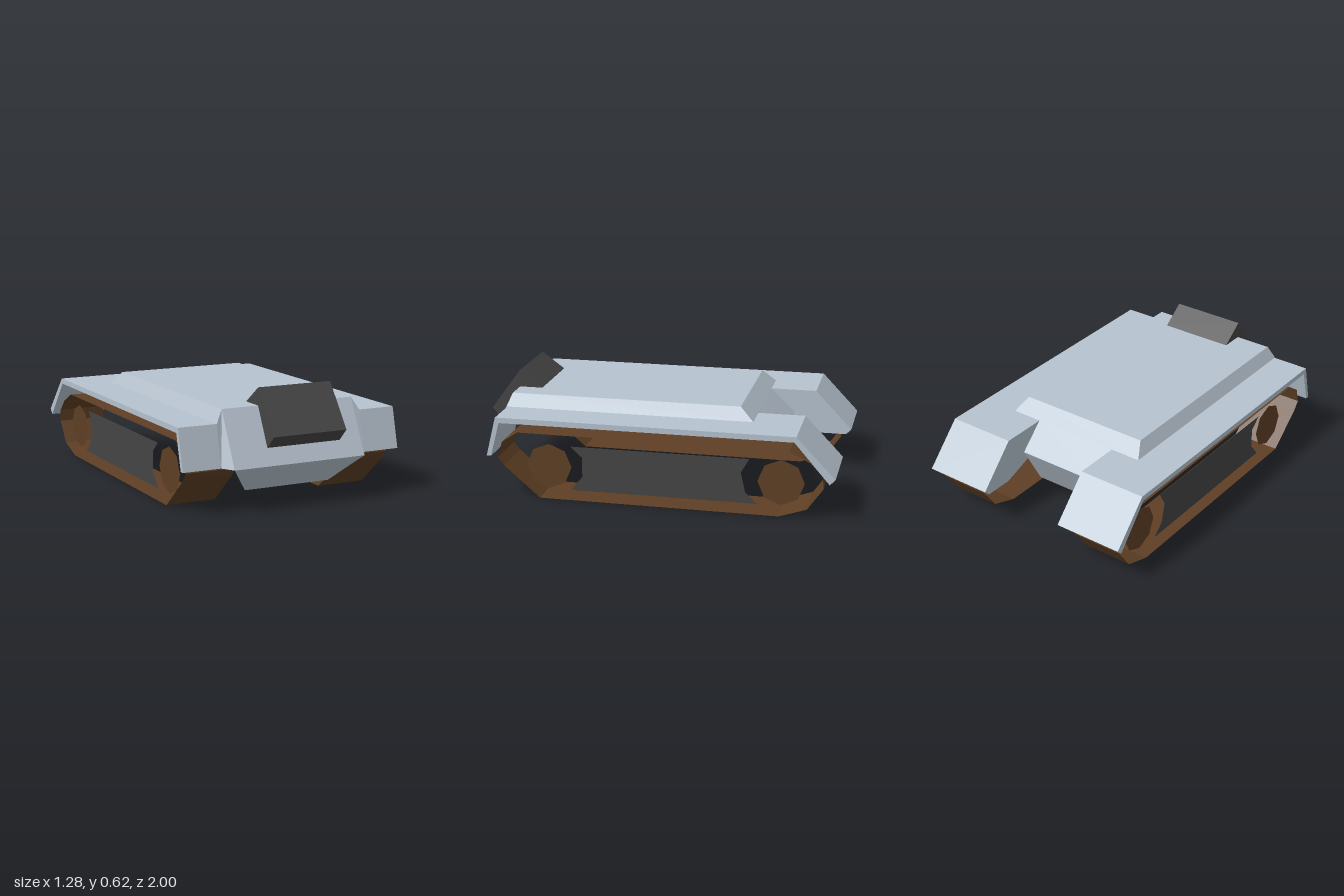
import * as THREE from 'three';

const paint = (color, side = THREE.FrontSide) =>
  new THREE.MeshStandardMaterial({ color, side, flatShading: true });

const armour = paint(0xb6c2ce);
const brown = paint(0x5e3f24, THREE.DoubleSide);
const dark = paint(0x444444, THREE.DoubleSide);
const darkSolid = paint(0x444444);

function named(name, geometry, material) {
  const mesh = new THREE.Mesh(geometry, material);
  mesh.name = name;
  return mesh;
}

// Quads given as four corners, anticlockwise from outside
function quads(list) {
  const pos = [];
  for (const [a, b, c, d] of list) pos.push(...a, ...b, ...c, ...a, ...c, ...d);
  const g = new THREE.BufferGeometry();
  g.setAttribute('position', new THREE.Float32BufferAttribute(pos, 3));
  g.computeVertexNormals();
  return g;
}

const outline = (pts) => new THREE.Shape(pts.map(([z, y]) => new THREE.Vector2(z, y)));

// Side profile (z, y) extruded between two x positions
function slab(pts, x0, x1) {
  const g = new THREE.ExtrudeGeometry(outline(pts), { depth: x1 - x0, bevelEnabled: false });
  return g.rotateY(-Math.PI / 2).translate(x1, 0, 0);
}

// Flat side profile (z, y) at one x, facing +x or -x
function sheet(pts, x, facing) {
  const g = new THREE.ShapeGeometry(outline(pts.map(([z, y]) => [-facing * z, y])));
  return g.rotateY(facing * Math.PI / 2).translate(x, 0, 0);
}

// Hull sections as half width, y, z, running from rear deck over the nose to the back
const HULL = [
  [0.385, 0.53, -0.455], [0.385, 0.53, 0.83], [0.385, 0.24, 0.975], [0.25, 0.09, 0.83],
  [0.25, 0.09, -0.54], [0.25, 0.325, -0.67], [0.25, 0.46, -0.53], [0.425, 0.46, -0.53],
];

function hullGeometry() {
  const list = HULL.map(([w, y, z], i) => {
    const [w2, y2, z2] = HULL[(i + 1) % HULL.length];
    return [[-w, y, z], [-w2, y2, z2], [w2, y2, z2], [w, y, z]];
  });
  // Chamfers beside the deck and the nose
  const sides = [
    [[0.385, 0.53, 0.83], [0.425, 0.46, 0.855], [0.425, 0.46, -0.53], [0.385, 0.53, -0.455]],
    [[0.425, 0.46, 0.855], [0.385, 0.53, 0.83], [0.385, 0.24, 0.975], [0.425, 0.24, 0.905]],
  ];
  for (const q of sides) {
    list.push(q, q.map(([x, y, z]) => [-x, y, z]).reverse());
  }
  return quads(list);
}

const FENDER = [
  [0.905, 0.24], [0.85, 0.46], [-0.79, 0.46], [-1, 0.24],
  [-0.97, 0.21], [-0.78, 0.43], [0.83, 0.43], [0.88, 0.24],
];
const FENDER_WALL = [
  [-0.54, 0.45], [-0.665, 0.325], [-0.64, 0.27], [-0.81, 0.21], [-0.97, 0.21], [-0.785, 0.44],
];
const TRACK = [
  [0.74, 0.37], [0.83, 0.31], [0.855, 0.22], [0.82, 0.175], [0.62, 0.002], [-0.7, 0],
  [-0.85, 0.05], [-0.935, 0.17], [-0.93, 0.24], [-0.86, 0.31], [-0.75, 0.365],
];
const PLATE = [
  [0.45, 0.3], [0.385, 0.24], [0.385, 0.13], [0.45, 0.05],
  [-0.58, 0.05], [-0.515, 0.11], [-0.49, 0.22], [-0.535, 0.3],
];

function trackGeometry(x0, x1) {
  return quads(TRACK.map(([z, y], i) => {
    const [z2, y2] = TRACK[(i + 1) % TRACK.length];
    return [[x0, y, z], [x0, y2, z2], [x1, y2, z2], [x1, y, z]];
  }));
}

export function createModel() {
  const model = new THREE.Group();
  model.name = 'trackedHull';

  model.add(named('hull', hullGeometry(), armour));

  // Tilted box on the nose
  const box = [[1, 0.395], [0.83, 0.625], [0.7, 0.53], [0.935, 0.328]];
  model.add(named('noseBox', slab(box, -0.175, 0.255), darkSolid));

  for (const s of [1, -1]) {
    const side = new THREE.Group();
    side.name = s > 0 ? 'leftSide' : 'rightSide';
    const span = (a, b) => (s > 0 ? [a, b] : [-b, -a]);

    side.add(named('fender', slab(FENDER, ...span(0.25, 0.64)), armour));
    side.add(named('fenderInnerWall', sheet(FENDER_WALL, s * 0.25, -s), armour));
    side.add(named('track', trackGeometry(...span(0.32, 0.6)), brown));
    side.add(named('sidePlate', sheet(PLATE, s * 0.57, s), dark));

    for (const [name, z] of [['frontWheel', 0.575], ['rearWheel', -0.705]]) {
      const disc = new THREE.CircleGeometry(0.127, 8).rotateY(s * Math.PI / 2);
      side.add(named(name, disc.translate(s * 0.56, 0.177, z), brown));
    }
    model.add(side);
  }
  return model;
}
